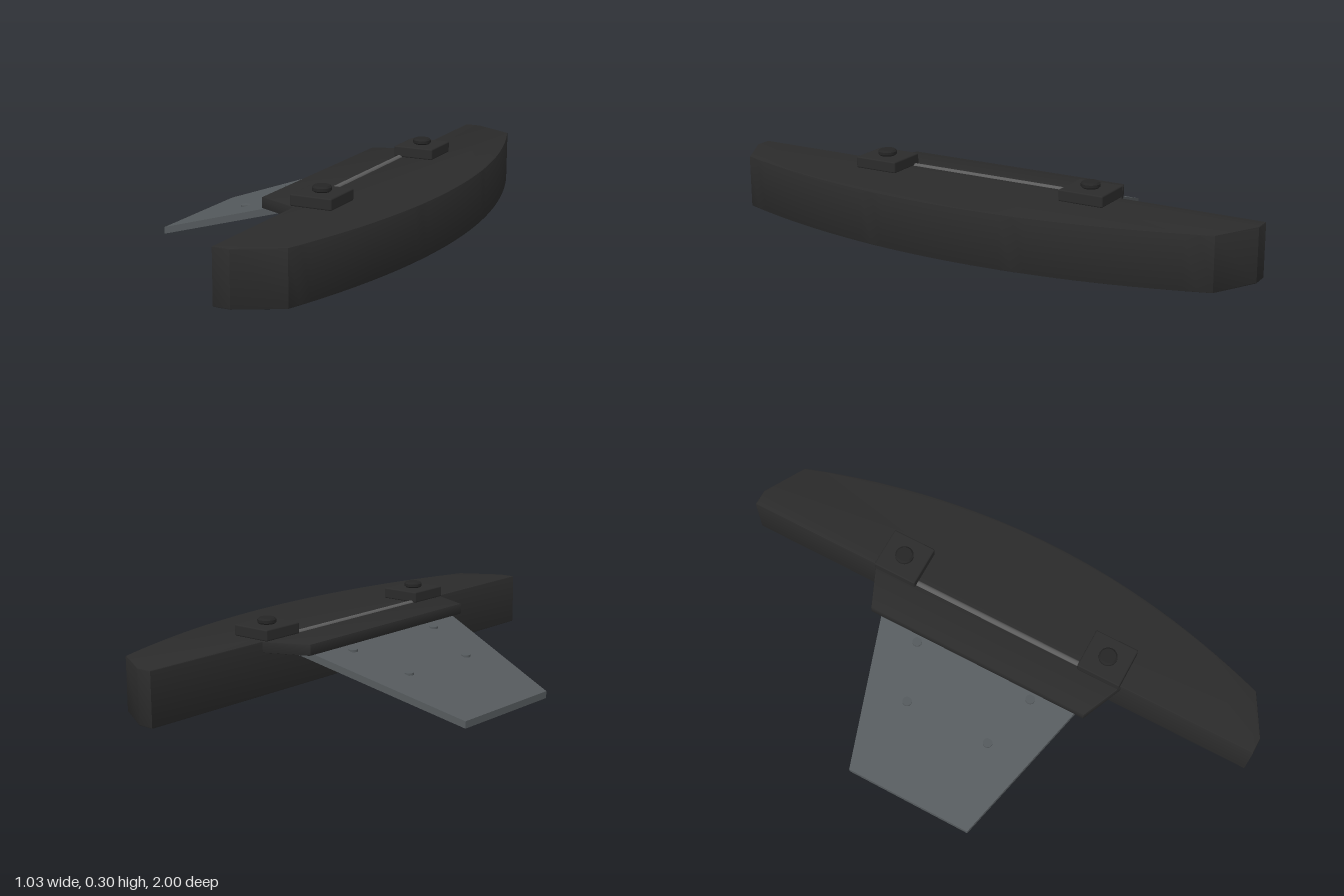
import * as THREE from 'three';
import { toCreasedNormals } from 'three/addons/utils/BufferGeometryUtils.js';
import { RoundedBoxGeometry } from 'three/addons/geometries/RoundedBoxGeometry.js';

const material = (name, color) => {
  const m = new THREE.MeshStandardMaterial({ color });
  m.name = name;
  return m;
};

// Extrudes a plan outline (x, z) upwards from y0 to y1
function slab(shape, y0, y1, bevel) {
  const geo = new THREE.ExtrudeGeometry(shape, {
    depth: y1 - y0 - 2 * bevel, bevelEnabled: bevel > 0, bevelSize: bevel,
    bevelThickness: bevel, bevelOffset: -bevel, bevelSegments: 2, curveSegments: 40,
  });
  geo.rotateX(-Math.PI / 2).translate(0, y0 + bevel, 0);
  return toCreasedNormals(geo, 0.5);
}

const outline = (points) => new THREE.Shape(points.map(([x, z]) => new THREE.Vector2(x, z)));

export function createModel() {
  const group = new THREE.Group();
  const black = material('black plastic', 0x2b2b2b);
  const dark = material('dark bolt', 0x252525);
  const steel = material('grey steel', 0x555a5d);
  const pinMetal = material('pin metal', 0x5c5c5c);

  const add = (name, geo, mat, x = 0, y = 0, z = 0) => {
    const mesh = new THREE.Mesh(geo, mat);
    mesh.name = name;
    mesh.position.set(x, y, z);
    group.add(mesh);
    return mesh;
  };

  // Main body: straight back, chamfered ends, bowed face
  const bow = new THREE.Shape();
  bow.moveTo(0.145, -1);
  bow.lineTo(0.205, -1);
  bow.lineTo(0.355, -0.915);
  bow.quadraticCurveTo(0.675, 0, 0.355, 0.915);
  bow.lineTo(0.205, 1);
  bow.lineTo(0.145, 1);
  bow.closePath();
  add('bowedBody', slab(bow, 0.05, 0.24, 0.004), black);

  // Hinge plate along the straight back
  const hinge = outline([[-0.01, -0.425], [0.15, -0.495], [0.15, 0.495], [-0.01, 0.425]]);
  add('hingePlate', slab(hinge, 0.2, 0.24, 0.004), black);

  // Exposed hinge pin
  const pin = new THREE.CylinderGeometry(0.011, 0.011, 0.72, 16).rotateX(Math.PI / 2);
  add('hingePin', pin, pinMetal, 0.151, 0.236, 0);

  // Tapered mounting plate, sheared into a slope
  const slope = (x) => (x + 0.52) * 0.328;
  const tongue = slab(outline([[-0.52, -0.24], [0.12, -0.425], [0.12, 0.425], [-0.52, 0.24]]), 0, 0.025, 0);
  const pos = tongue.attributes.position;
  for (let i = 0; i < pos.count; i++) pos.setY(i, pos.getY(i) + slope(pos.getX(i)));
  tongue.computeVertexNormals();
  add('slopedPlate', tongue, steel);

  // Clamp block and rounded bolt head
  const block = new RoundedBoxGeometry(0.152, 0.04, 0.164, 2, 0.005);
  const head = new THREE.LatheGeometry([
    [0, 0], [0.027, 0], [0.033, 0.005], [0.033, 0.015], [0.027, 0.021], [0, 0.021],
  ].map(([r, y]) => new THREE.Vector2(r, y)), 24);
  const headGeo = toCreasedNormals(head, 0.5);
  const rivet = new THREE.CylinderGeometry(0.017, 0.017, 0.008, 20);

  for (const side of [-1, 1]) {
    const label = side > 0 ? 'Front' : 'Back';
    add('clampBlock' + label, block, black, 0.205, 0.26, side * 0.407);
    add('boltHead' + label, headGeo, dark, 0.205, 0.28, side * 0.407);
    for (const [name, x, z] of [['outerRivet', -0.225, 0.163], ['innerRivet', -0.03, 0.228]])
      add(name + label, rivet, steel, x, slope(x) + 0.026, side * z);
  }
  return group;
}
